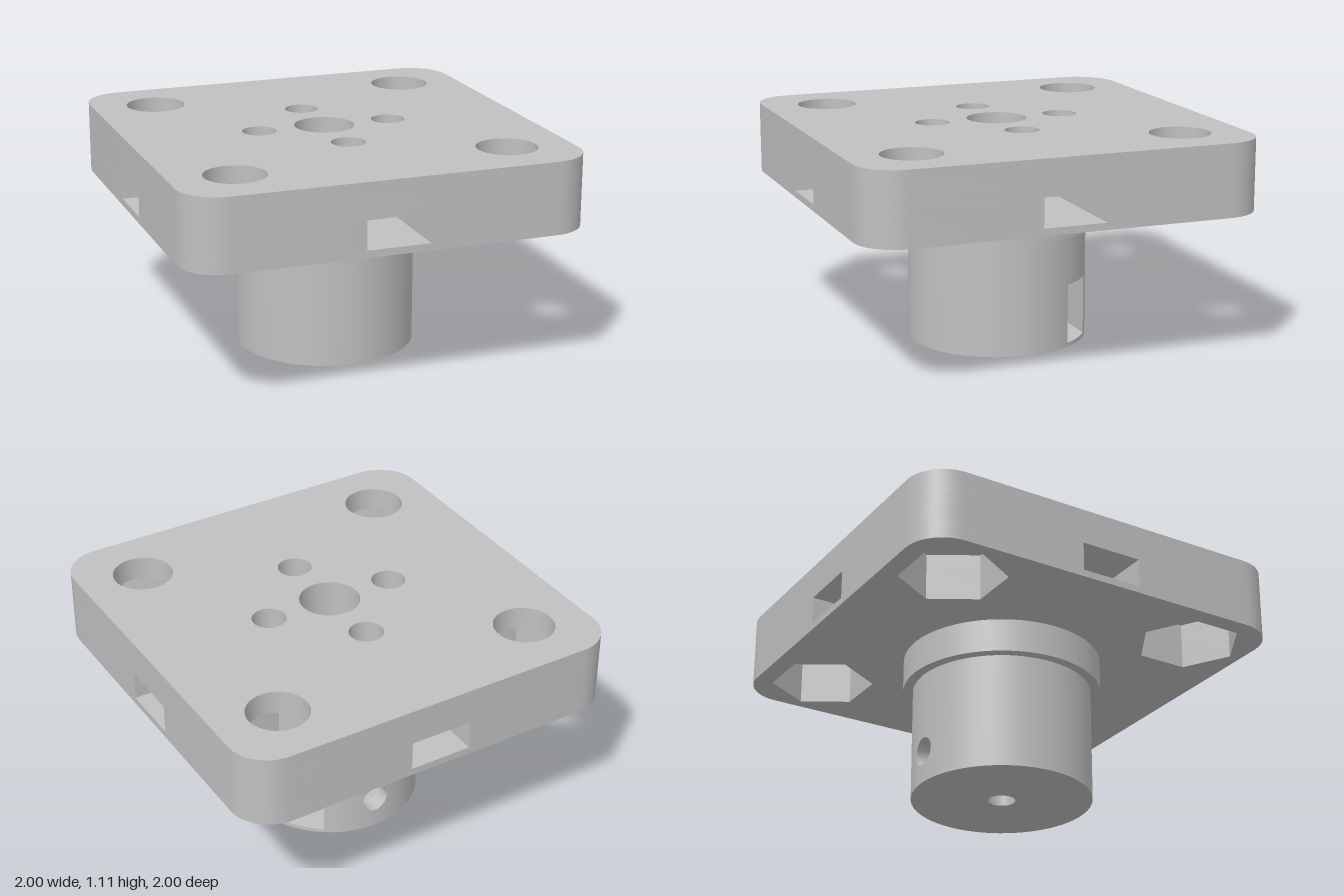
import * as THREE from 'three';
import { toCreasedNormals } from 'three/addons/utils/BufferGeometryUtils.js';

const grey = new THREE.MeshStandardMaterial({ color: 0xc0c0c0, side: THREE.DoubleSide });
grey.name = 'light grey';

const R = 0.45;                       // hub radius
const SLOT_NEAR = -0.23, SLOT_FAR = -0.37; // z range of the hub nut slot
const HOLE_Y = 0.165, HOLE_R = 0.07;  // set screw hole
const BORE_R = 0.068;

function add(group, name, geometry, x = 0, y = 0, z = 0) {
  const mesh = new THREE.Mesh(geometry, grey);
  mesh.name = name;
  mesh.position.set(x, y, z);
  group.add(mesh);
  return mesh;
}

// Half of a nut pocket: box channel that ends in a pointed hexagon
function nutProfile(mouth, centre, half, hexHalf) {
  const r = hexHalf / Math.cos(Math.PI / 6);
  return [[mouth, -half], [centre, -half], [centre, -hexHalf], [centre - r / 2, -hexHalf],
    [centre - r, 0],
    [centre - r / 2, hexHalf], [centre, hexHalf], [centre, half], [mouth, half]];
}

// Rounded square outline, optionally with a nut slot in each side
function plateShape(notched) {
  const pts = [];
  for (let k = 0; k < 4; k++) {
    const side = [[1, -0.8]];
    if (notched) side.push(...nutProfile(1, 0.34, 0.158, 0.145));
    for (let i = 0; i < 12; i++) {
      const a = (i / 12) * Math.PI / 2;
      side.push([0.8 + 0.2 * Math.cos(a), 0.8 + 0.2 * Math.sin(a)]);
    }
    for (const [x, y] of side) {
      pts.push(new THREE.Vector2(x, y).rotateAround(new THREE.Vector2(), k * Math.PI / 2));
    }
  }
  return new THREE.Shape(pts);
}

function circleHole(shape, x, y, r, sides = 40, turn = 0) {
  const pts = [];
  for (let i = 0; i < sides; i++) {
    const a = turn + (i / sides) * Math.PI * 2;
    pts.push(new THREE.Vector2(x + r * Math.cos(a), y + r * Math.sin(a)));
  }
  shape.holes.push(new THREE.Path(pts));
}

// One horizontal layer of the plate
function plateLayer(group, name, y0, y1, { notched, hex, centre, small }) {
  const shape = plateShape(notched);
  for (const x of [-0.68, 0.68]) for (const y of [-0.68, 0.68]) {
    if (hex) circleHole(shape, x, y, 0.26, 6, y > 0 ? 0 : Math.PI / 6);
    else circleHole(shape, x, y, 0.15);
  }
  if (centre) circleHole(shape, 0, 0, 0.15);
  if (small) {
    for (const [x, y] of [[0.34, 0], [-0.34, 0], [0, 0.34], [0, -0.34]]) circleHole(shape, x, y, 0.085, 32);
  }
  const g = new THREE.ExtrudeGeometry(shape, { depth: y1 - y0, bevelEnabled: false });
  g.rotateX(-Math.PI / 2);
  add(group, name, toCreasedNormals(g, 0.5), 0, y0, 0);
}

// Piece of the hub's outer wall between two angles
function wall(group, t0, t1, y0, y1) {
  const segs = Math.max(6, Math.ceil((t1 - t0) * 12));
  add(group, 'hubWall', new THREE.CylinderGeometry(R, R, y1 - y0, segs, 1, true, t0, t1 - t0), 0, (y0 + y1) / 2, 0);
}

function nutSlot(group) {
  const outline = z => nutProfile(Math.sqrt(R * R - z * z), 0, 0.15, 0.14);
  // Side faces, each pierced by the screw hole
  for (const z of [SLOT_NEAR, SLOT_FAR]) {
    const shape = new THREE.Shape(outline(z).map(([x, y]) => new THREE.Vector2(x, y + 0.17)));
    circleHole(shape, 0, HOLE_Y, HOLE_R, 32);
    add(group, 'nutSlotSide', new THREE.ShapeGeometry(shape), 0, 0, z);
  }
  // Floor, roof and pointed end, following the curved hub at the mouth
  const pos = [], n = 6;
  const t0 = Math.acos(SLOT_NEAR / R), t1 = Math.acos(SLOT_FAR / R);
  for (let i = 0; i < n; i++) {
    const za = R * Math.cos(t0 + (t1 - t0) * i / n), zb = R * Math.cos(t0 + (t1 - t0) * (i + 1) / n);
    const a = outline(za), b = outline(zb);
    for (let j = 0; j < a.length - 1; j++) {
      const p = [...a[j], za], q = [...a[j + 1], za], r = [...b[j + 1], zb], s = [...b[j], zb];
      pos.push(...p, ...q, ...r, ...p, ...r, ...s);
    }
  }
  const g = new THREE.BufferGeometry();
  g.setAttribute('position', new THREE.Float32BufferAttribute(pos, 3));
  // the loop runs so that faces point into the pocket
  g.computeVertexNormals();
  add(group, 'nutSlotWalls', g, 0, 0.17, 0);
}

function screwHole(group, half) {
  // Curved patch of hub wall around the hole
  const patch = new THREE.RingGeometry(HOLE_R, half, 32, 1);
  const p = patch.attributes.position, nor = patch.attributes.normal;
  for (let i = 0; i < p.count; i++) {
    let x = p.getX(i), y = p.getY(i);
    if (Math.hypot(x, y) > (HOLE_R + half) / 2) {
      const k = half / Math.max(Math.abs(x), Math.abs(y));
      x *= k;
      y *= k;
    }
    const z = Math.sqrt(R * R - x * x);
    p.setXYZ(i, x, y, z);
    nor.setXYZ(i, x / R, 0, z / R);
  }
  patch.rotateY(Math.PI);
  add(group, 'screwHoleSurround', patch, 0, HOLE_Y, 0);

  // Bore outside the slot, trimmed to the hub surface, and bore inside it
  for (const [za, zb] of [[-R, SLOT_FAR], [SLOT_NEAR, -BORE_R]]) {
    const g = new THREE.CylinderGeometry(HOLE_R, HOLE_R, zb - za, 32, 1, true);
    g.rotateX(Math.PI / 2).translate(0, 0, (za + zb) / 2);
    const q = g.attributes.position;
    for (let i = 0; i < q.count; i++) {
      if (q.getZ(i) < -0.4) q.setZ(i, -Math.sqrt(R * R - q.getX(i) ** 2));
    }
    add(group, 'screwHoleBore', g, 0, HOLE_Y, 0);
  }
}

export function createModel() {
  const model = new THREE.Group();
  model.name = 'flangeCoupling';

  // Mounting plate
  const plate = new THREE.Group();
  plate.name = 'mountingPlate';
  plateLayer(plate, 'plateUnderside', 0.75, 0.785, { hex: true, centre: true });
  plateLayer(plate, 'plateSlotLayer', 0.785, 0.93, { notched: true, hex: true, centre: true });
  plateLayer(plate, 'plateUpperLayer', 0.93, 0.99, { hex: true, centre: true, small: true });
  plateLayer(plate, 'plateTop', 0.99, 1.11, { centre: true, small: true });
  model.add(plate);

  // Collar under the plate
  add(model, 'collar', new THREE.CylinderGeometry(0.5, 0.5, 0.17, 72), 0, 0.665, 0);

  // Hub wall, split around the slot and the screw hole
  const hub = new THREE.Group();
  hub.name = 'hub';
  const t1 = Math.acos(SLOT_NEAR / R), t2 = Math.acos(SLOT_FAR / R);
  const half = 0.09, b = Math.asin(half / R);
  wall(hub, t2, Math.PI - b, 0, 0.58);
  wall(hub, Math.PI + b, 2 * Math.PI + t1, 0, 0.58);
  wall(hub, t1, t2, 0, 0.02);
  wall(hub, t1, t2, 0.32, 0.58);
  wall(hub, Math.PI - b, Math.PI + b, 0, HOLE_Y - half);
  wall(hub, Math.PI - b, Math.PI + b, HOLE_Y + half, 0.58);
  nutSlot(hub);
  screwHole(hub, half);

  // Hub end face and blind shaft bore
  add(hub, 'hubEnd', new THREE.RingGeometry(BORE_R, R, 72).rotateX(Math.PI / 2));
  add(hub, 'shaftBore', new THREE.CylinderGeometry(BORE_R, BORE_R, 0.5, 32, 1, true), 0, 0.25, 0);
  add(hub, 'shaftBoreEnd', new THREE.CircleGeometry(BORE_R, 32).rotateX(Math.PI / 2), 0, 0.5, 0);
  model.add(hub);

  return model;
}
